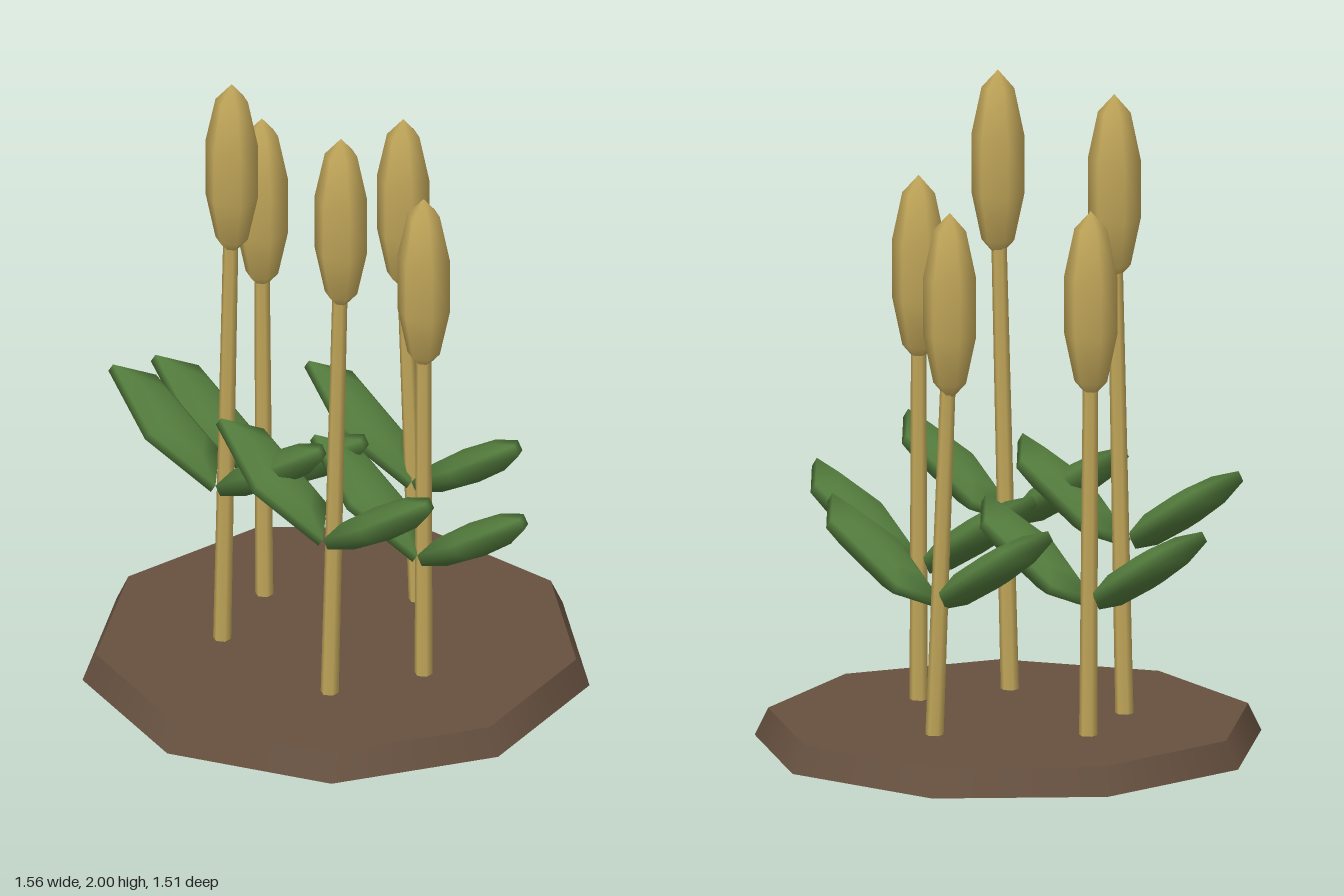
import * as THREE from 'three';

const material = (color) => new THREE.MeshStandardMaterial({ color });

export function createModel() {
  const model = new THREE.Group();
  model.name = 'reedClump';
  const soil = material(0x675140);
  const straw = material(0xc2a75a);
  const green = material(0x527a3c);

  const add = (parent, name, geometry, mat, x, y, z) => {
    const mesh = new THREE.Mesh(geometry, mat);
    mesh.name = name;
    mesh.position.set(x, y, z);
    parent.add(mesh);
    return mesh;
  };

  // Nine-sided slab of ground, one corner towards the front
  add(model, 'groundBase', new THREE.CylinderGeometry(0.737, 0.778, 0.085, 9), soil, -0.003, 0.0425, -0.027);

  // Seed head: stretched six-sided ball with a corner to the front
  const headGeometry = new THREE.SphereGeometry(1, 6, 5).rotateY(Math.PI / 2).scale(0.085, 0.292, 0.085);

  // Leaf: five-sided ball flattened into a blade, widest point to the front
  const leafGeometry = new THREE.SphereGeometry(1, 5, 5).rotateY(Math.PI / 2).scale(0.272, 0.055, 0.102);

  // Foot x, head x, z, head centre height, leaf height
  const reeds = [
    [-0.35, -0.36, -0.09, 1.42, 0.62],
    [-0.26, -0.221, 0.207, 1.708, 0.74],
    [0.023, -0.036, -0.368, 1.42, 0.62],
    [0.21, 0.256, 0.25, 1.708, 0.74],
    [0.345, 0.345, -0.027, 1.42, 0.62],
  ];

  for (const [footX, headX, z, headY, leafY] of reeds) {
    const reed = new THREE.Group();
    reed.name = 'reed';
    model.add(reed);

    // Stem leaning from the foot into the head
    const foot = new THREE.Vector3(footX, 0.06, z);
    const top = new THREE.Vector3(headX, headY - 0.1, z);
    const along = top.clone().sub(foot);
    const middle = foot.clone().add(top).multiplyScalar(0.5);
    const stem = add(reed, 'stem', new THREE.CylinderGeometry(0.023, 0.028, along.length(), 6), straw, ...middle);
    stem.quaternion.setFromUnitVectors(new THREE.Vector3(0, 1, 0), along.normalize());

    add(reed, 'seedHead', headGeometry, straw, headX, headY, z);

    // Pair of leaves rising outwards from the stem
    for (const side of [-1, 1]) {
      const leaf = add(reed, side > 0 ? 'leftLeaf' : 'rightLeaf', leafGeometry, green, footX + side * 0.215, leafY, z);
      leaf.rotation.z = side * 0.58;
    }
  }
  return model;
}
